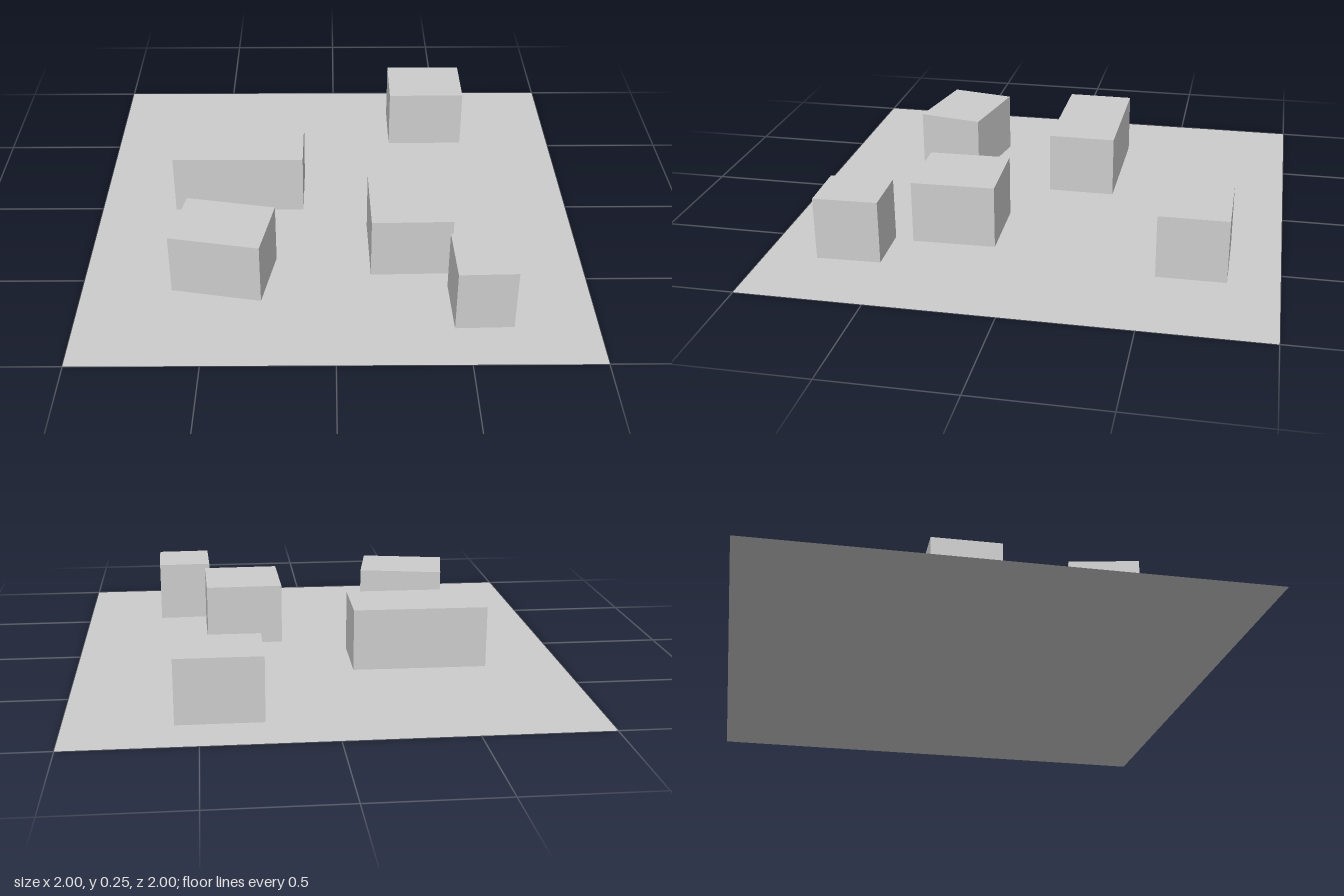
import * as THREE from 'three';

const HEIGHT = 0.255;

// [name, centre x, centre z, width, depth, turn about y]
const BLOCKS = [
  ['backBlock', 0.425, -0.665, 0.333, 0.272, 0],
  ['longBlock', -0.408, -0.13, 0.55, 0.279, -0.008],
  ['turnedBlock', -0.443, 0.46, 0.362, 0.276, -0.19],
  ['middleBlock', 0.301, 0.297, 0.323, 0.336, 0.02],
  ['frontBlock', 0.562, 0.666, 0.227, 0.257, 0.027],
];

export function createModel() {
  const model = new THREE.Group();
  model.name = 'blockLayout';

  const grey = new THREE.MeshStandardMaterial({ color: 0xcccccc, side: THREE.DoubleSide });
  grey.name = 'lightGrey';

  // Flat square ground sheet
  const ground = new THREE.Mesh(new THREE.PlaneGeometry(2, 2).rotateX(-Math.PI / 2), grey);
  ground.name = 'groundSheet';
  model.add(ground);

  // Blocks of equal height standing on the sheet
  for (const [name, x, z, width, depth, turn] of BLOCKS) {
    const block = new THREE.Mesh(new THREE.BoxGeometry(width, HEIGHT, depth), grey);
    block.name = name;
    block.position.set(x, HEIGHT / 2, z);
    block.rotation.y = turn;
    model.add(block);
  }
  return model;
}
